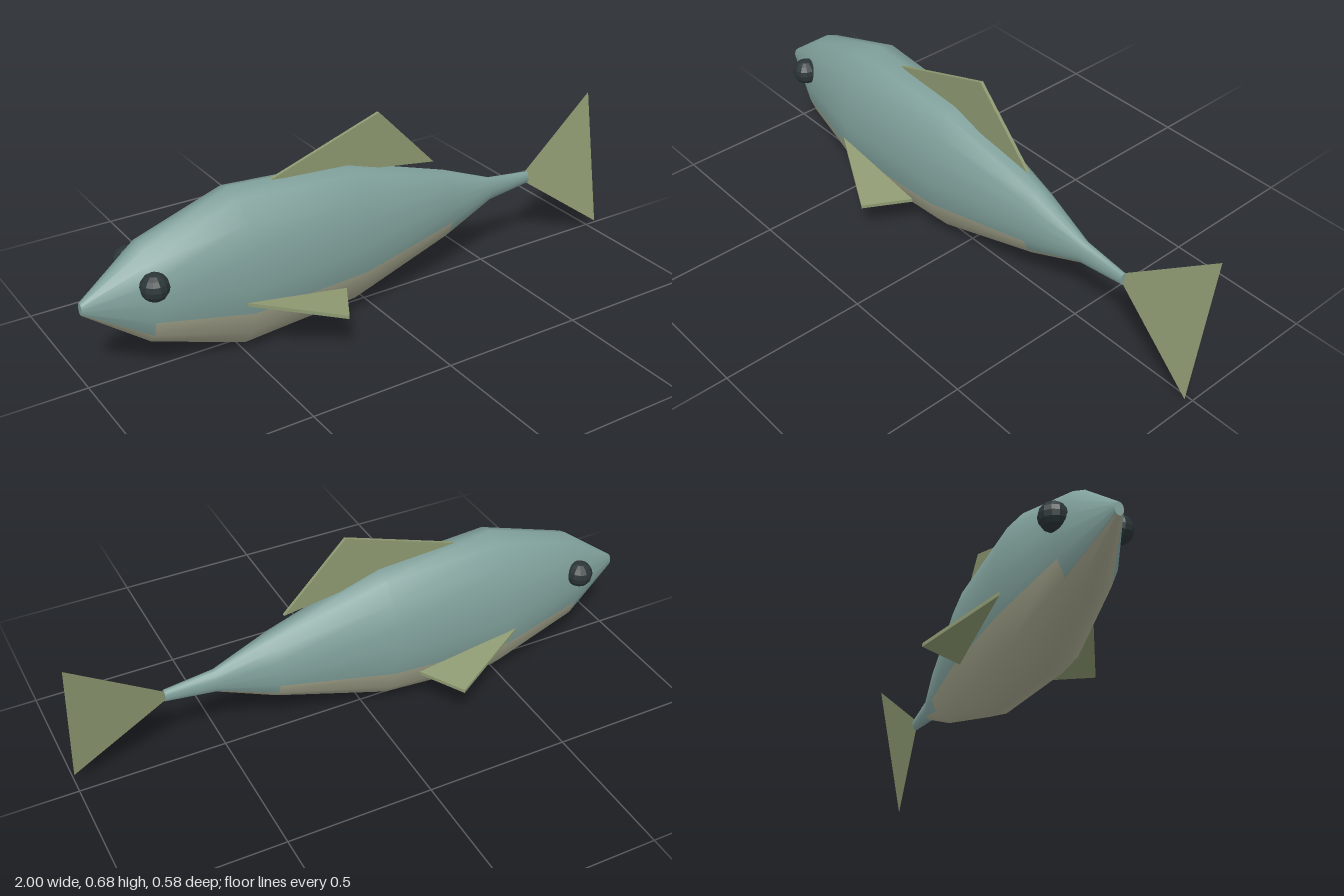
import * as THREE from 'three';

const SIDES = 16;
// Body stations from nose to tail: x, top, bottom, half width
const STATIONS = [
  [-1, 0.3, 0.257, 0.014],
  [-0.8, 0.45, 0.105, 0.1],
  [-0.49, 0.55, 0.0, 0.156],
  [-0.07, 0.523, 0.03, 0.141],
  [0.32, 0.4, 0.15, 0.07],
  [0.52, 0.32, 0.235, 0.025],
  [0.69, 0.3, 0.257, 0.014],
];

// Smooth loft through the stations; group 0 is the back, group 1 the belly
function bodyGeometry() {
  const pos = [], back = [], belly = [];
  for (const [x, top, bottom, w] of STATIONS) {
    for (let j = 0; j < SIDES; j++) {
      const a = (j / SIDES) * Math.PI * 2;
      pos.push(x, (top + bottom) / 2 + ((top - bottom) / 2) * Math.cos(a), w * Math.sin(a));
    }
  }
  // First belly facet of each segment (8 means no belly)
  const firstBelly = [6, 5, 5, 5, 6, 8];
  firstBelly.forEach((first, i) => {
    for (let j = 0; j < SIDES; j++) {
      const k = (j + 1) % SIDES;
      const a = i * SIDES + j, b = i * SIDES + k, c = a + SIDES, d = b + SIDES;
      const list = j >= first && j <= 15 - first ? belly : back;
      list.push(a, b, c, b, d, c);
    }
  });
  const geo = new THREE.BufferGeometry();
  geo.setAttribute('position', new THREE.Float32BufferAttribute(pos, 3));
  geo.setIndex([...back, ...belly]);
  geo.addGroup(0, back.length, 0);
  geo.addGroup(back.length, belly.length, 1);
  geo.computeVertexNormals();
  return geo;
}

// Flat-sided triangular plate: three corners pushed along an offset
function plateGeometry(corners, offset) {
  const p = corners.map((c) => new THREE.Vector3(...c));
  const q = p.map((v) => v.clone().add(new THREE.Vector3(...offset)));
  const tris = [p[0], p[2], p[1], q[0], q[1], q[2]];
  for (let i = 0; i < 3; i++) {
    const k = (i + 1) % 3;
    tris.push(p[i], p[k], q[k], p[i], q[k], q[i]);
  }
  const geo = new THREE.BufferGeometry().setFromPoints(tris);
  geo.computeVertexNormals();
  return geo;
}

export function createModel() {
  const group = new THREE.Group();
  const material = (name, color, options = {}) => {
    const m = new THREE.MeshStandardMaterial({ color, ...options });
    m.name = name;
    return m;
  };
  const backMat = material('blueGreenBack', 0x7f9f9a);
  const bellyMat = material('paleBelly', 0xa3a38c);
  const finMat = material('oliveFin', 0x8d9971, { side: THREE.DoubleSide });
  const eyeMat = material('darkEye', 0x2b3537, { flatShading: true });

  const add = (name, geo, mat) => {
    const mesh = new THREE.Mesh(geo, mat);
    mesh.name = name;
    group.add(mesh);
    return mesh;
  };

  add('body', bodyGeometry(), [backMat, bellyMat]);

  // Small end caps at the nose and the tail root
  for (const [name, station, dir] of [['noseCap', STATIONS[0], -1], ['tailCap', STATIONS[6], 1]]) {
    const [x, top, bottom, w] = station;
    const cap = new THREE.CircleGeometry(1, SIDES);
    cap.scale(w, (top - bottom) / 2, 1);
    cap.rotateY((dir * Math.PI) / 2);
    cap.translate(x, (top + bottom) / 2, 0);
    add(name, cap, backMat);
  }

  // Dorsal fin
  add('dorsalFin', plateGeometry(
    [[-0.35, 0.54, 0.001], [0.05, 0.675, 0.001], [0.27, 0.448, 0.001]], [0, 0, 0.011]), finMat);

  // Forked tail: a thin sheet, leaning slightly about the body axis
  const fork = new THREE.Shape([[0, 0], [0.22, 0], [0.34, -0.247], [0.34, 0.247]]
    .map(([x, y]) => new THREE.Vector2(x, y)));
  fork.setFromPoints([[0, 0], [0.34, -0.247], [0.22, 0], [0.34, 0.247]]
    .map(([x, y]) => new THREE.Vector2(x, y)));
  const tail = add('tailFin', new THREE.ShapeGeometry(fork), finMat);
  tail.position.set(0.66, 0.278, -0.003);
  tail.rotation.x = -0.18;

  // Paired side fins and eyes
  for (const s of [1, -1]) {
    const side = s > 0 ? 'front' : 'back';
    add(side + 'SideFin', plateGeometry(
      [[-0.52, 0.22, 0.15 * s], [-0.24, 0.153, 0.289 * s], [-0.155, 0.153, 0.137 * s]],
      [0, -0.012 * s, 0]), finMat);
    const eye = add(side + 'Eye', new THREE.SphereGeometry(0.046, 12, 8), eyeMat);
    eye.position.set(-0.8, 0.34, 0.1 * s);
  }
  return group;
}
